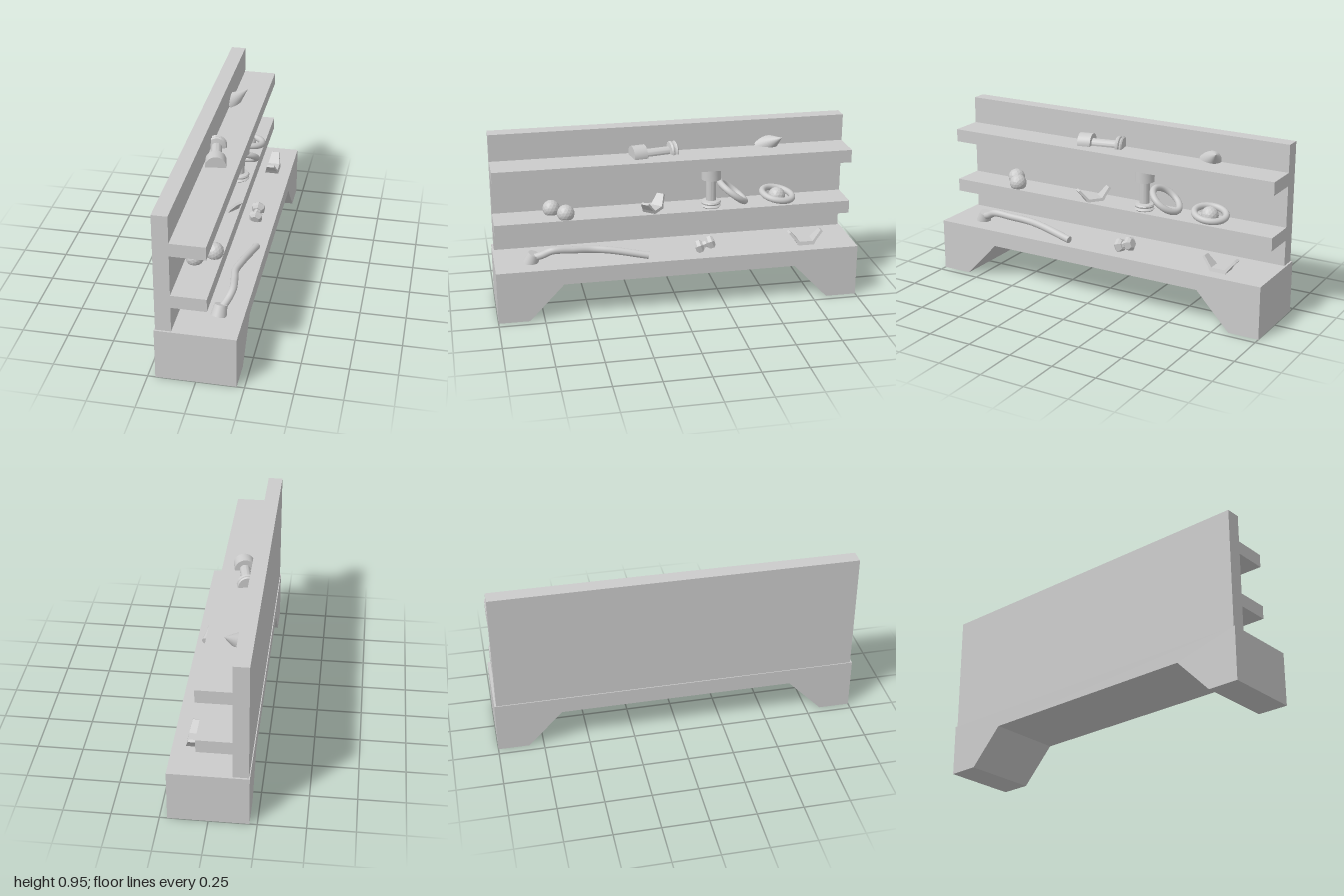
import * as THREE from 'three';
import { toCreasedNormals } from 'three/addons/utils/BufferGeometryUtils.js';

const grey = new THREE.MeshStandardMaterial({ color: 0xcccccc });
const greyFlat = new THREE.MeshStandardMaterial({ color: 0xcccccc, flatShading: true });
const V = (x, y, z) => new THREE.Vector3(x, y, z);
const UP = V(0, 1, 0);

function add(parent, name, geometry, x, y, z, material = grey) {
  const mesh = new THREE.Mesh(geometry, material);
  mesh.name = name;
  mesh.position.set(x, y, z);
  parent.add(mesh);
  return mesh;
}

// Box given by its limits
function block(parent, name, x0, x1, y0, y1, z0, z1) {
  return add(parent, name, new THREE.BoxGeometry(x1 - x0, y1 - y0, z1 - z0),
    (x0 + x1) / 2, (y0 + y1) / 2, (z0 + z1) / 2);
}

const point = (mesh, dir) => mesh.quaternion.setFromUnitVectors(UP, dir.normalize());

// Handle with a thick head, a shaft and two rounded collars at the foot
function handleGeometry() {
  const profile = [[0, 0], [0.048, 0], [0.054, 0.006], [0.048, 0.014], [0.042, 0.016],
    [0.052, 0.02], [0.055, 0.028], [0.05, 0.036], [0.028, 0.04], [0.028, 0.163],
    [0.054, 0.163], [0.054, 0.23], [0, 0.23]].map(p => new THREE.Vector2(...p));
  return toCreasedNormals(new THREE.LatheGeometry(profile, 32), 0.7);
}

// Channel bracket with two flared, tapering wings
function bracketGeometry() {
  const pts = [[-0.045, 0], [0.045, 0], [0.06, 0.025], [0.098, 0.068], [0.085, 0.075],
    [0.038, 0.02], [-0.038, 0.02], [-0.085, 0.075], [-0.098, 0.068], [-0.06, 0.025]];
  const shape = new THREE.Shape(pts.map(p => new THREE.Vector2(...p)));
  const geo = new THREE.ExtrudeGeometry(shape, { depth: 0.08, bevelEnabled: false });
  geo.translate(0, 0, -0.04);
  geo.rotateY(-Math.PI / 2);
  const pos = geo.attributes.position;
  for (let i = 0; i < pos.count; i++) {
    pos.setX(i, pos.getX(i) * (1 - 6.5 * pos.getY(i)));
  }
  geo.computeVertexNormals();
  return geo;
}

export function createModel() {
  const model = new THREE.Group();
  model.name = 'shelfBench';

  // Bench base with an arched cut-out underneath
  const outline = [[-1, 0], [-0.83, 0], [-0.64, 0.2], [0.64, 0.2], [0.83, 0], [1, 0], [1, 0.29], [-1, 0.29]];
  const base = new THREE.ExtrudeGeometry(
    new THREE.Shape(outline.map(p => new THREE.Vector2(...p))), { depth: 0.42, bevelEnabled: false });
  base.rotateY(-Math.PI / 2);
  add(model, 'base', base, 0.21, 0, 0);

  // Back panel and shelves
  block(model, 'backPanel', -0.205, -0.123, 0.29, 0.955, -0.99, 0.99);
  block(model, 'lowerShelf', -0.123, 0.06, 0.433, 0.505, -0.99, 0.99);
  block(model, 'upperShelf', -0.123, 0.06, 0.733, 0.805, -0.99, 0.99);

  // Upper shelf: lying handle, half sunk, and a cone leaning out of the panel
  const handle = handleGeometry();
  const lying = add(model, 'lyingHandle', handle, -0.1, 0.811, -0.03);
  lying.scale.set(1.04, 1.12, 1.04);
  point(lying, V(0.045, 0, 0.245));
  const cone = new THREE.ConeGeometry(0.07, 0.15, 32);
  cone.translate(0, -0.075, 0);
  point(add(model, 'cone', cone, -0.037, 0.868, -0.615), V(0.73, 0.5, -0.48));

  // Lower shelf: faceted balls
  const ball = new THREE.IcosahedronGeometry(0.048, 2);
  for (const [x, z] of [[-0.07, 0.67], [0.018, 0.6], [-0.03, -0.592]]) {
    add(model, 'ball', ball, x, 0.533, z, greyFlat);
  }

  // Lower shelf: standing handle and rings
  add(model, 'standingHandle', handle, -0.007, 0.505, -0.21);
  const ring = new THREE.TorusGeometry(0.086, 0.018, 14, 48);
  ring.rotateX(Math.PI / 2);
  point(add(model, 'leaningRing', ring, -0.021, 0.578, -0.335), V(0, 0.8, -0.62));
  point(add(model, 'flatRing', ring, -0.03, 0.542, -0.595), V(0.12, 1, -0.16));

  // Brackets
  const bracket = bracketGeometry();
  add(model, 'baseBracket', bracket, 0.1, 0.29, -0.725, greyFlat);
  add(model, 'shelfBracket', bracket, -0.01, 0.5, 0.115, greyFlat).rotation.y = 0.9;

  // Base: bent rod with a cup at one end
  const path = new THREE.CatmullRomCurve3([V(0.09, 0.318, 0.79), V(0.112, 0.34, 0.74), V(0.128, 0.366, 0.69),
    V(0.117, 0.358, 0.58), V(0.103, 0.348, 0.48), V(0.12, 0.342, 0.38), V(0.16, 0.31, 0.17)]);
  const rod = add(model, 'bentRod', new THREE.TubeGeometry(path, 40, 0.02, 14), 0, 0, 0);
  const cap = new THREE.CircleGeometry(0.02, 14);
  const rodEnd = add(rod, 'rodEnd', cap, 0.16, 0.31, 0.17);
  rodEnd.quaternion.setFromUnitVectors(V(0, 0, 1), path.getTangent(1));
  point(add(model, 'rodCup', new THREE.CylinderGeometry(0.033, 0.042, 0.06, 24), 0.084, 0.313, 0.795),
    V(0.12, 0.9, -0.35));

  // Base: pair of faceted nuts joined by a link
  const nuts = new THREE.Group();
  nuts.name = 'nutPair';
  const nutProfile = [[0, -0.023], [0.026, -0.023], [0.04, -0.01], [0.04, 0.01], [0.026, 0.023], [0, 0.023]];
  const nut = new THREE.LatheGeometry(nutProfile.map(p => new THREE.Vector2(...p)), 6);
  const link = new THREE.CylinderGeometry(0.02, 0.02, 0.07, 6);
  const axis = V(0.1, 0.35, -1);
  point(add(nuts, 'nut', nut, 0.103, 0.315, -0.122, greyFlat), axis.clone());
  point(add(nuts, 'nut', nut, 0.107, 0.337, -0.183, greyFlat), axis.clone());
  point(add(nuts, 'link', link, 0.105, 0.326, -0.152, greyFlat), axis.clone());
  model.add(nuts);

  return model;
}
